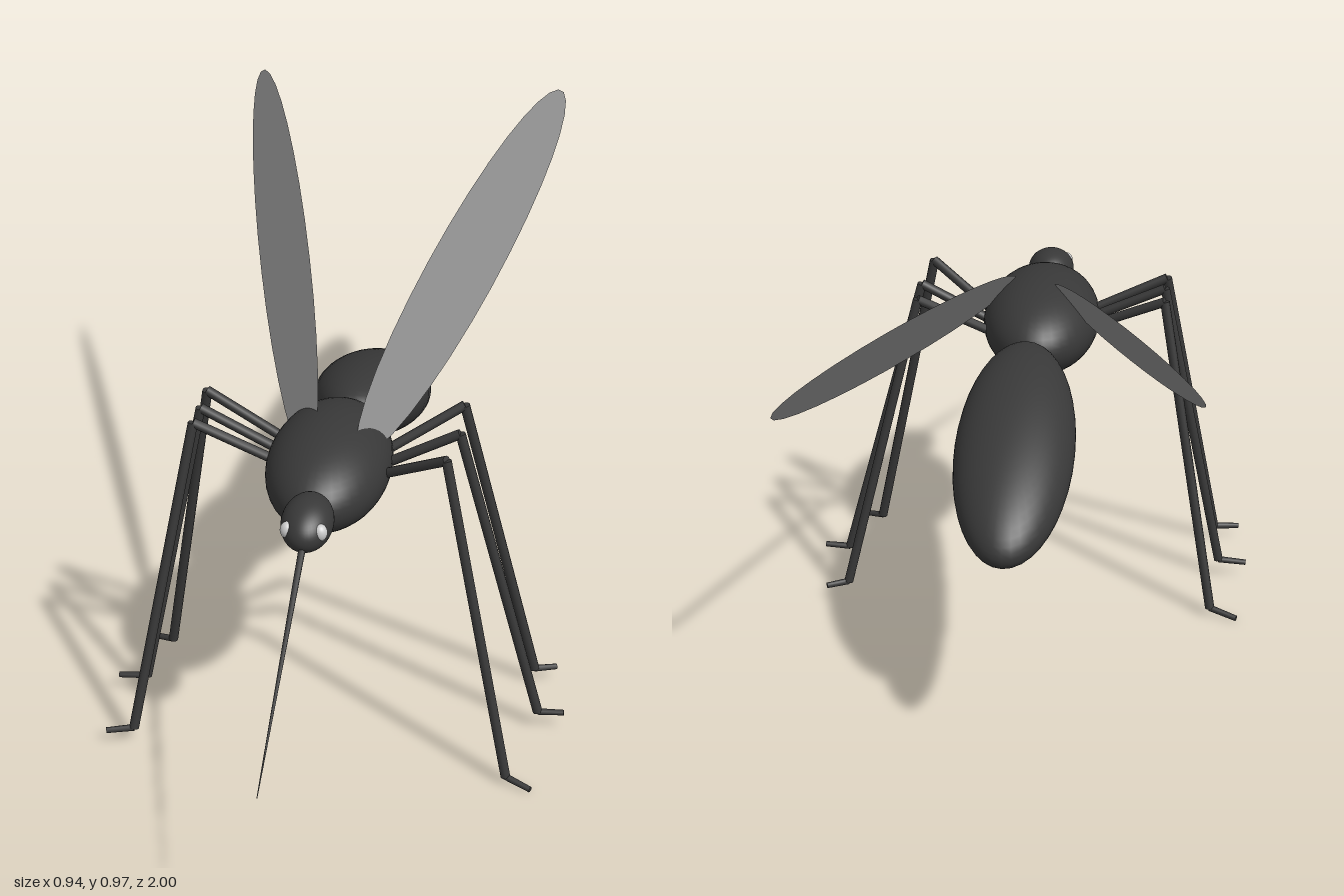
import * as THREE from 'three';

const V = (p) => new THREE.Vector3(...p);
const dark = new THREE.MeshStandardMaterial({ color: 0x383838 });
const eyeMat = new THREE.MeshStandardMaterial({ color: 0xcccccc });
const wingMat = new THREE.MeshStandardMaterial({ color: 0x8c8c8c, side: THREE.DoubleSide });

// Ellipsoid with radii along x, y, z, tilted about x
function ellipsoid(name, center, radii, tilt = 0, material = dark) {
  const mesh = new THREE.Mesh(new THREE.SphereGeometry(1, 40, 28), material);
  mesh.name = name;
  mesh.position.set(...center);
  mesh.scale.set(...radii);
  mesh.rotation.x = tilt;
  return mesh;
}

// Round rod between two points
function rod(name, from, to, r0, r1, sides = 10) {
  const a = V(from), b = V(to), dir = b.clone().sub(a);
  const mesh = new THREE.Mesh(new THREE.CylinderGeometry(r1, r0, dir.length(), sides), dark);
  mesh.name = name;
  mesh.position.copy(a).add(b).multiplyScalar(0.5);
  mesh.quaternion.setFromUnitVectors(new THREE.Vector3(0, 1, 0), dir.normalize());
  return mesh;
}

// Flat elliptical wing from its centre and two half axes
function wing(name, center, long, short) {
  const a = V(long), b = V(short);
  const n = a.clone().cross(b).normalize();
  const geo = new THREE.CircleGeometry(1, 32);
  geo.applyMatrix4(new THREE.Matrix4().makeBasis(a, b, n).setPosition(...center));
  const mesh = new THREE.Mesh(geo, wingMat);
  mesh.name = name;
  return mesh;
}

// Jointed leg: hip, knee, ankle, toe
function leg(name, [hip, knee, ankle, toe]) {
  const g = new THREE.Group();
  g.name = name;
  g.add(
    rod('upperLeg', hip, knee, 0.01, 0.01),
    rod('lowerLeg', knee, ankle, 0.01, 0.01),
    rod('foot', ankle, toe, 0.007, 0.006),
  );
  return g;
}

export function createModel() {
  const model = new THREE.Group();
  model.name = 'insect';

  // Body
  model.add(
    ellipsoid('thorax', [-0.015, 0.598, 0.242], [0.123, 0.097, 0.215]),
    ellipsoid('abdomen', [0, 0.51, -0.24], [0.12, 0.087, 0.305], -0.35),
    ellipsoid('head', [-0.015, 0.614, 0.497], [0.05, 0.045, 0.071], 0.2),
  );

  // Eyes and proboscis
  for (const [side, s] of [['left', 1], ['right', -1]]) {
    model.add(ellipsoid(side + 'Eye', [-0.015 + s * 0.031, 0.618, 0.538], [0.014, 0.017, 0.014], 0, eyeMat));
  }
  model.add(rod('proboscis', [-0.015, 0.598, 0.54], [-0.02, 0.345, 1], 0.007, 0.0008));

  // Wings
  model.add(
    wing('leftWing', [0.19, 0.79, -0.355], [0.14, 0.135, -0.645], [-0.048, 0.068, 0]),
    wing('rightWing', [-0.21, 0.795, -0.33], [-0.163, 0.16, -0.617], [0.048, 0.066, 0]),
  );

  // Legs, each slightly differently posed
  const legs = {
    leftFrontLeg: [[0.07, 0.585, 0.255], [0.228, 0.682, 0.345], [0.368, 0.016, 0.425], [0.42, 0.008, 0.45]],
    leftMiddleLeg: [[0.07, 0.585, 0.222], [0.24, 0.675, 0.222], [0.413, 0.038, 0.222], [0.467, 0.041, 0.222]],
    leftBackLeg: [[0.07, 0.585, 0.17], [0.236, 0.682, 0.115], [0.392, 0.036, 0.062], [0.437, 0.033, 0.043]],
    rightFrontLeg: [[-0.09, 0.597, 0.265], [-0.28, 0.685, 0.275], [-0.397, 0.034, 0.4], [-0.452, 0.03, 0.413]],
    rightMiddleLeg: [[-0.09, 0.597, 0.225], [-0.278, 0.685, 0.213], [-0.41, 0.042, 0.222], [-0.47, 0.037, 0.222]],
    rightBackLeg: [[-0.09, 0.597, 0.18], [-0.28, 0.685, 0.138], [-0.395, 0.018, 0.042], [-0.452, 0.008, 0.018]],
  };
  for (const name in legs) model.add(leg(name, legs[name]));

  return model;
}
